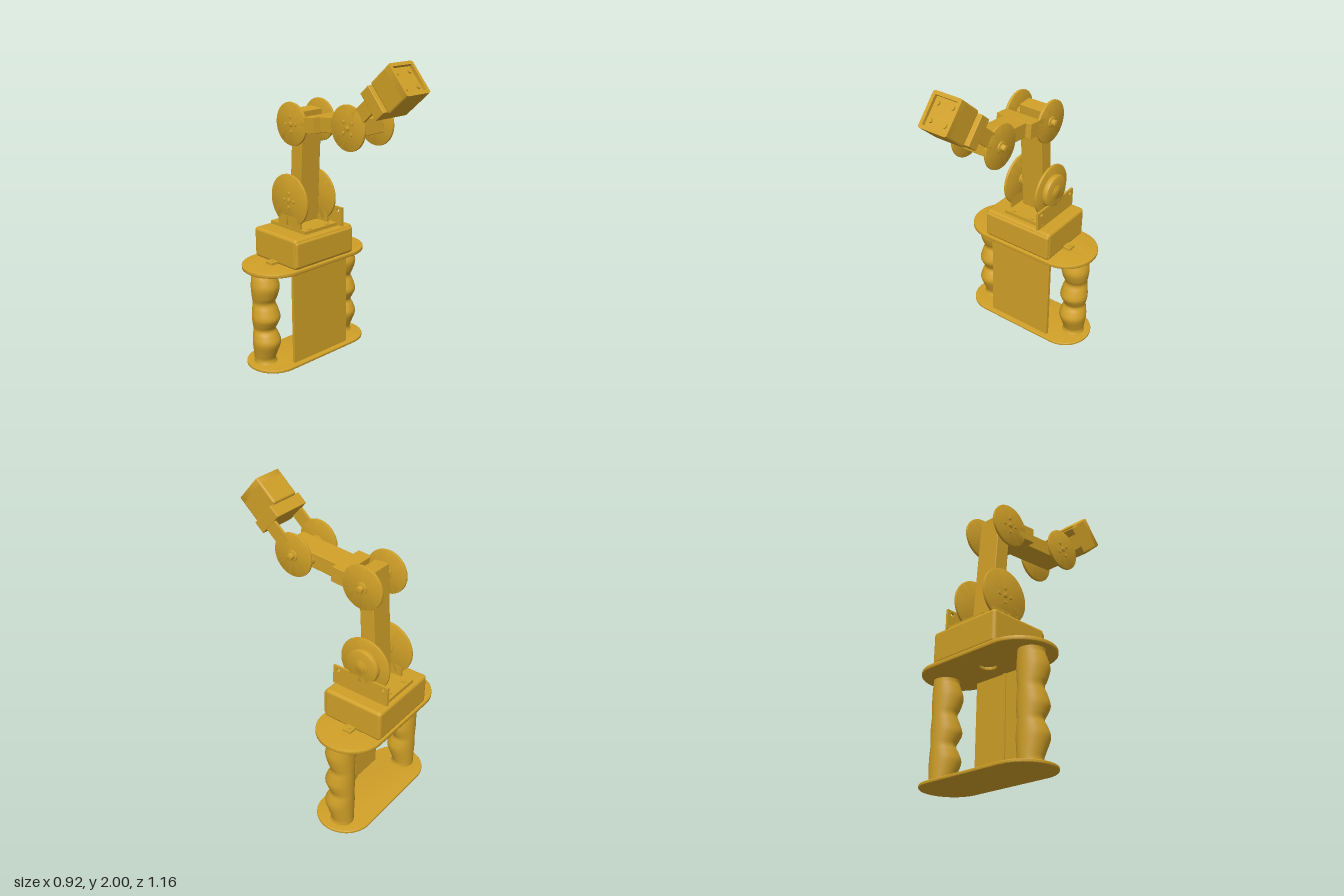
import * as THREE from 'three';
import { toCreasedNormals } from 'three/addons/utils/BufferGeometryUtils.js';
import { RoundedBoxGeometry } from 'three/addons/geometries/RoundedBoxGeometry.js';

const gold = new THREE.MeshStandardMaterial({ color: 0xcf9f27 });
gold.name = 'gold';

function add(parent, name, geo, x = 0, y = 0, z = 0) {
  const m = new THREE.Mesh(geo, gold);
  m.name = name;
  m.position.set(x, y, z);
  parent.add(m);
  return m;
}

// Box given by its limits, optionally with rounded edges
function box(parent, name, [x0, x1], [y0, y1], [z0, z1], r = 0) {
  const s = [x1 - x0, y1 - y0, z1 - z0];
  const geo = r ? new RoundedBoxGeometry(...s, 3, r) : new THREE.BoxGeometry(...s);
  return add(parent, name, geo, (x0 + x1) / 2, (y0 + y1) / 2, (z0 + z1) / 2);
}

// Cylinder lying along x from x0 to x1, with softened rims
function rod(parent, name, r, x0, x1, y = 0, z = 0, bevel = 0.002) {
  const h = x1 - x0, b = bevel;
  const pts = [[0, 0], [r - b, 0], [r - b * 0.3, b * 0.3], [r, b], [r, h - b], [r - b * 0.3, h - b * 0.3], [r - b, h], [0, h]];
  const geo = new THREE.LatheGeometry(pts.map(p => new THREE.Vector2(...p)), r > 0.06 ? 56 : 24);
  geo.rotateZ(-Math.PI / 2);
  return add(parent, name, toCreasedNormals(geo, 0.5), x0, y, z);
}

function roundedRect(hw, hh, r, Kind = THREE.Shape) {
  const s = new Kind();
  s.absarc(hw - r, hh - r, r, 0, Math.PI / 2);
  s.absarc(-hw + r, hh - r, r, Math.PI / 2, Math.PI);
  s.absarc(-hw + r, -hh + r, r, Math.PI, Math.PI * 1.5);
  s.absarc(hw - r, -hh + r, r, Math.PI * 1.5, Math.PI * 2);
  s.closePath();
  return s;
}

function circleHole(shape, x, y, r) {
  const h = new THREE.Path();
  h.absarc(x, y, r, 0, Math.PI * 2, true);
  shape.holes.push(h);
}

// Horizontal stadium plate with a rounded rim
function stadium(parent, name, hx, r, y0, y1, z, hole) {
  const b = 0.006;
  const s = roundedRect(hx - b, r - b, r - b - 0.0005);
  if (hole) circleHole(s, 0, 0, hole);
  const geo = new THREE.ExtrudeGeometry(s, {
    depth: y1 - y0 - 2 * b, bevelThickness: b, bevelSize: b, bevelSegments: 3, curveSegments: 32,
  });
  geo.rotateX(-Math.PI / 2);
  add(parent, name, toCreasedNormals(geo, 0.6), 0, y0 + b, z);
}

// Pair of joint discs with hubs, axle caps and screws
function joint(parent, r) {
  for (const s of [-1, 1]) {
    rod(parent, 'jointDisc', r, s * 0.1175 - 0.0085, s * 0.1175 + 0.0085, 0, 0, 0.005);
  }
  rod(parent, 'innerHub', 0.036, -0.11, -0.07);
  rod(parent, 'hubFlange', 0.042, -0.1, -0.093);
  rod(parent, 'innerHub', 0.026, 0.085, 0.11);
  rod(parent, 'outerFlange', 0.036, 0.12, 0.134);
  rod(parent, 'axleCap', 0.02, 0.12, 0.16);
  rod(parent, 'axleCap', 0.016, -0.136, -0.12);
  for (let i = 0; i < 4; i++) {
    const a = i * Math.PI / 2;
    rod(parent, 'discScrew', 0.011, -0.134, -0.12, 0.045 * Math.sin(a), 0.045 * Math.cos(a));
  }
}

// Frame whose +z axis points along a limb
function limb(parent, name, y, z, angle) {
  const g = new THREE.Group();
  g.name = name;
  g.position.set(0, y, z);
  g.rotation.x = -angle;
  parent.add(g);
  return g;
}

// Limb beam with the small stub behind its end joint
function beam(g, z0, z1, end) {
  box(g, 'limbBeam', [-0.072, 0.087], [-0.048, 0.048], [z0, z1], 0.005);
  rod(g, 'beamStub', 0.019, 0.08, 0.107, 0, end - 0.115);
}

export function createModel() {
  const root = new THREE.Group();
  root.name = 'robotArm';

  // Stand: two plates, rear-facing panel and wavy grip columns
  const stand = new THREE.Group();
  stand.name = 'stand';
  root.add(stand);
  stadium(stand, 'bottomPlate', 0.46, 0.183, 0, 0.02, -0.36);
  stadium(stand, 'topPlate', 0.46, 0.213, 0.655, 0.682, -0.368, 0.055);
  box(stand, 'panel', [-0.232, 0.232], [0.015, 0.66], [-0.232, -0.211]);
  box(stand, 'panelRib', [-0.012, 0.012], [0.015, 0.66], [-0.24, -0.23]);
  const profile = new THREE.SplineCurve([
    [0.076, 0.015], [0.07, 0.045], [0.078, 0.09], [0.092, 0.165], [0.084, 0.215], [0.073, 0.255], [0.083, 0.295],
    [0.092, 0.34], [0.083, 0.395], [0.073, 0.44], [0.083, 0.485], [0.092, 0.55], [0.084, 0.605], [0.077, 0.635], [0.079, 0.66],
  ].map(p => new THREE.Vector2(...p))).getPoints(70);
  const column = new THREE.LatheGeometry(profile, 40);
  const p = column.attributes.position;
  for (let i = 0; i < p.count; i++) {
    // keep the back of the grip straight
    p.setZ(i, p.getZ(i) + Math.hypot(profile[i % profile.length].x, 0) - 0.09);
  }
  column.computeVertexNormals();
  for (const s of [-1, 1]) add(stand, 'gripColumn', column, s * 0.341, 0, -0.362);

  // Housing with front cover and side tabs
  const base = new THREE.Group();
  base.name = 'housing';
  root.add(base);
  box(base, 'housingBox', [-0.25, 0.25], [0.675, 0.877], [-0.571, -0.167], 0.022);
  box(base, 'frontCover', [-0.245, 0.245], [0.69, 0.86], [-0.19, -0.158], 0.014);
  for (const s of [-1, 1]) {
    box(base, 'sideTab', [s * 0.27 - 0.03, s * 0.27 + 0.03], [0.675, 0.7], [-0.4, -0.34], 0.004);
    add(base, 'tabScrew', new THREE.CylinderGeometry(0.013, 0.013, 0.006, 20), s * 0.277, 0.702, -0.37);
  }

  // Shoulder mount
  box(base, 'mountPlate', [-0.128, 0.163], [0.87, 0.898], [-0.545, -0.21]);
  for (const x of [-0.074, 0.074]) for (const z of [-0.51, -0.23]) {
    add(base, 'mountScrew', new THREE.CylinderGeometry(0.013, 0.013, 0.008, 20), x, 0.901, z);
  }
  const bracket = new THREE.Shape([[0.167, 0.88], [0.558, 0.88], [0.558, 1.005], [0.167, 1.005]].map(q => new THREE.Vector2(...q)));
  for (const z of [0.204, 0.523]) circleHole(bracket, z, 0.98, 0.012);
  for (const z of [0.214, 0.513]) circleHole(bracket, z, 0.893, 0.009);
  const bracketGeo = new THREE.ExtrudeGeometry(bracket, { depth: 0.015, bevelEnabled: false });
  bracketGeo.rotateY(Math.PI / 2);
  add(base, 'sideBracket', bracketGeo, 0.149);
  for (const s of [-1, 1]) {
    box(base, 'discFoot', [s * 0.1175 - 0.0085, s * 0.1175 + 0.0085], [0.88, 0.97], [-0.47, -0.26]);
  }
  const shoulder = limb(root, 'shoulder', 1.07, -0.365, 0);
  joint(shoulder, 0.171);
  rod(shoulder, 'shoulderMotor', 0.11, 0.12, 0.164, 0, 0, 0.012);
  rod(shoulder, 'motorRing', 0.048, 0.16, 0.167);
  rod(shoulder, 'motorCap', 0.03, 0.16, 0.171);

  // Lower arm from shoulder to elbow
  const lower = limb(root, 'lowerArm', 1.07, -0.365, Math.atan2(0.495, 0.034));
  beam(lower, -0.155, 0.58, 0.496);
  rod(lower, 'beamStub', 0.019, 0.08, 0.107, 0, -0.115);

  // Forearm: fork around the elbow, then beam to the wrist
  const fore = limb(root, 'forearm', 1.565, -0.331, Math.atan2(0.045, 0.491));
  joint(fore, 0.136);
  for (const s of [-1, 1]) {
    box(fore, 'forkArm', [s * 0.1175 - 0.0085, s * 0.1175 + 0.0085], [-0.047, 0.047], [0.08, 0.21]);
  }
  box(fore, 'forkBar', [-0.126, 0.126], [-0.049, 0.049], [0.118, 0.21], 0.004);
  beam(fore, 0.2, 0.578, 0.493);

  // Wrist: fork, wide crossbar and head
  const wrist = limb(root, 'wrist', 1.61, 0.16, Math.atan2(0.66, 0.751));
  joint(wrist, 0.136);
  for (const s of [-1, 1]) {
    box(wrist, 'wristArm', [s * 0.1175 - 0.0085, s * 0.1175 + 0.0085], [-0.045, 0.045], [0.08, 0.22]);
  }
  box(wrist, 'wristBar', [-0.127, 0.127], [-0.092, 0.092], [0.214, 0.294], 0.005);
  box(wrist, 'headBody', [-0.097, 0.097], [-0.107, 0.107], [0.288, 0.447], 0.014);
  const frame = roundedRect(0.097, 0.107, 0.014);
  frame.holes.push(roundedRect(0.076, 0.085, 0.004, THREE.Path));
  const frameGeo = new THREE.ExtrudeGeometry(frame, { depth: 0.04, bevelEnabled: false, curveSegments: 8 });
  add(wrist, 'headFrame', toCreasedNormals(frameGeo, 0.6), 0, 0, 0.427);
  for (const x of [-0.05, 0.05]) for (const y of [-0.05, 0.05]) {
    const screw = new THREE.CylinderGeometry(0.013, 0.013, 0.01, 20);
    screw.rotateX(Math.PI / 2);
    add(wrist, 'headScrew', screw, x, y, 0.451);
  }
  return root;
}
